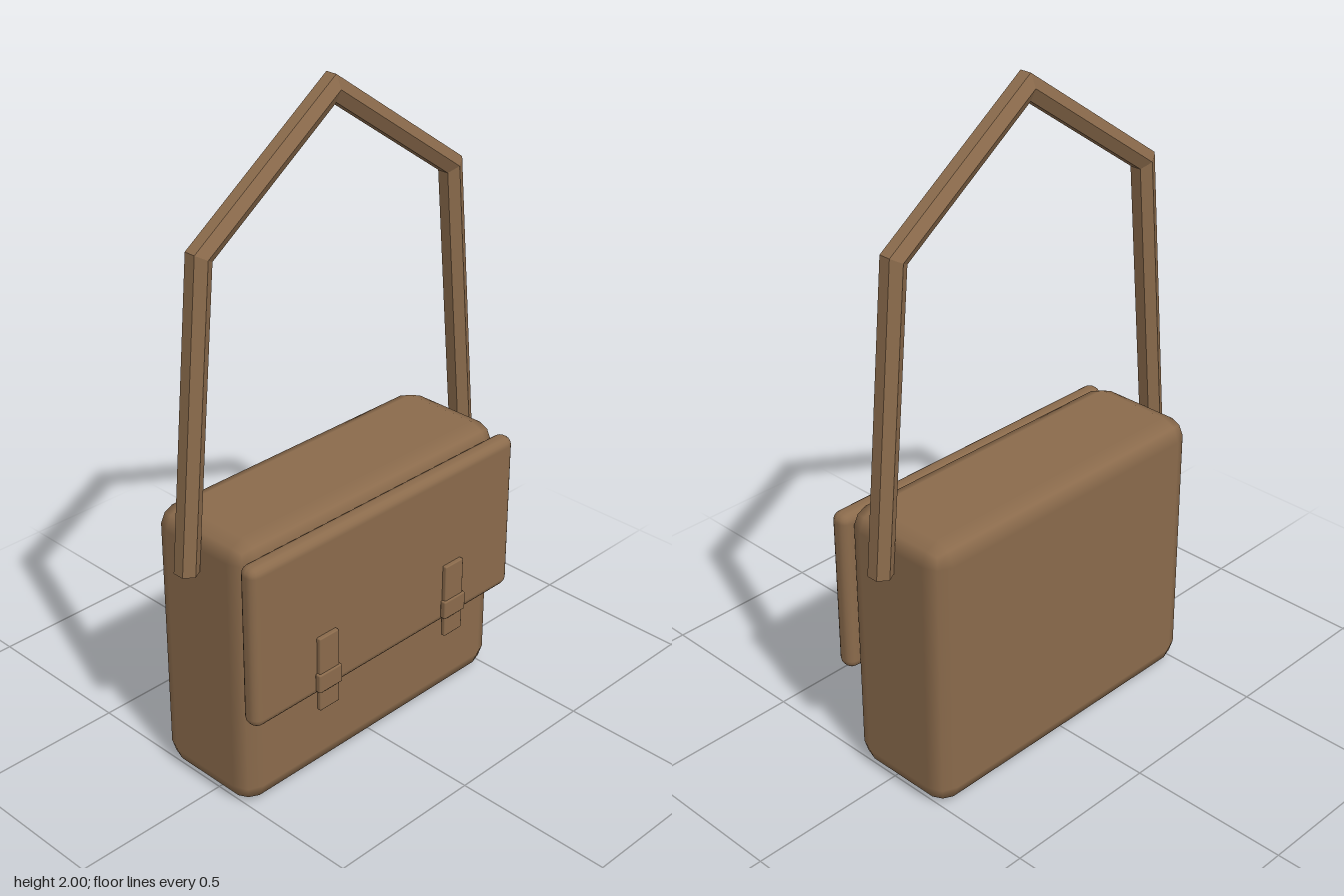
import * as THREE from 'three';
import { RoundedBoxGeometry } from 'three/addons/geometries/RoundedBoxGeometry.js';

const leather = new THREE.MeshStandardMaterial({ name: 'brown leather', color: 0x8b6b4c });

function addMesh(parent, name, geometry, x = 0, y = 0, z = 0) {
  const mesh = new THREE.Mesh(geometry, leather);
  mesh.name = name;
  mesh.position.set(x, y, z);
  parent.add(mesh);
  return mesh;
}

// Hexagonal bar swept along a path in the xy plane, with mitred corners and capped ends
function hexStrap(path, radius) {
  const rings = path.map((p, i) => {
    const a = p.clone().sub(path[Math.max(i - 1, 0)]).normalize();
    const b = path[Math.min(i + 1, path.length - 1)].clone().sub(p).normalize();
    const t = a.clone().add(b).normalize();
    const stretch = 1 / t.dot(i ? a : b);
    const n = new THREE.Vector2(-t.y, t.x).multiplyScalar(stretch);
    return Array.from({ length: 6 }, (_, k) => {
      const s = Math.sin(k * Math.PI / 3) * radius;
      return [p.x + n.x * s, p.y + n.y * s, Math.cos(k * Math.PI / 3) * radius];
    });
  });
  const pos = [];
  for (let i = 0; i < rings.length - 1; i++) {
    for (let k = 0; k < 6; k++) {
      const m = (k + 1) % 6;
      const [a, b, c, d] = [rings[i][k], rings[i + 1][k], rings[i + 1][m], rings[i][m]];
      pos.push(...a, ...b, ...c, ...a, ...c, ...d);
    }
  }
  const first = rings[0], last = rings[rings.length - 1];
  for (let k = 1; k < 5; k++) {
    pos.push(...first[0], ...first[k], ...first[k + 1]);
    pos.push(...last[0], ...last[k + 1], ...last[k]);
  }
  const geometry = new THREE.BufferGeometry();
  geometry.setAttribute('position', new THREE.Float32BufferAttribute(pos, 3));
  geometry.computeVertexNormals(); // unshared corners give flat facets
  return geometry;
}

export function createModel() {
  const bag = new THREE.Group();
  bag.name = 'satchel';

  // Main compartment and front flap
  addMesh(bag, 'body', new RoundedBoxGeometry(1.04, 0.86, 0.362, 1, 0.06), 0, 0.43, -0.037);
  addMesh(bag, 'flap', new RoundedBoxGeometry(1.06, 0.514, 0.062, 2, 0.028), 0, 0.57, 0.167);

  // Shoulder strap, rising to a peak
  const path = [[-0.556, 0.737], [-0.472, 1.633], [0, 1.965], [0.472, 1.633], [0.556, 0.737]]
    .map(([x, y]) => new THREE.Vector2(x, y));
  addMesh(bag, 'shoulderStrap', hexStrap(path, 0.036), 0, 0, -0.036);

  // Two closing straps with buckles
  for (const [side, x] of [['left', 0.26], ['right', -0.26]]) {
    const fastener = new THREE.Group();
    fastener.name = side + 'Fastener';
    fastener.position.x = x;
    addMesh(fastener, 'closingStrap', new RoundedBoxGeometry(0.076, 0.242, 0.016, 1, 0.004), 0, 0.391, 0.204);
    addMesh(fastener, 'buckle', new RoundedBoxGeometry(0.09, 0.06, 0.02, 1, 0.005), 0, 0.365, 0.208);
    bag.add(fastener);
  }
  return bag;
}
